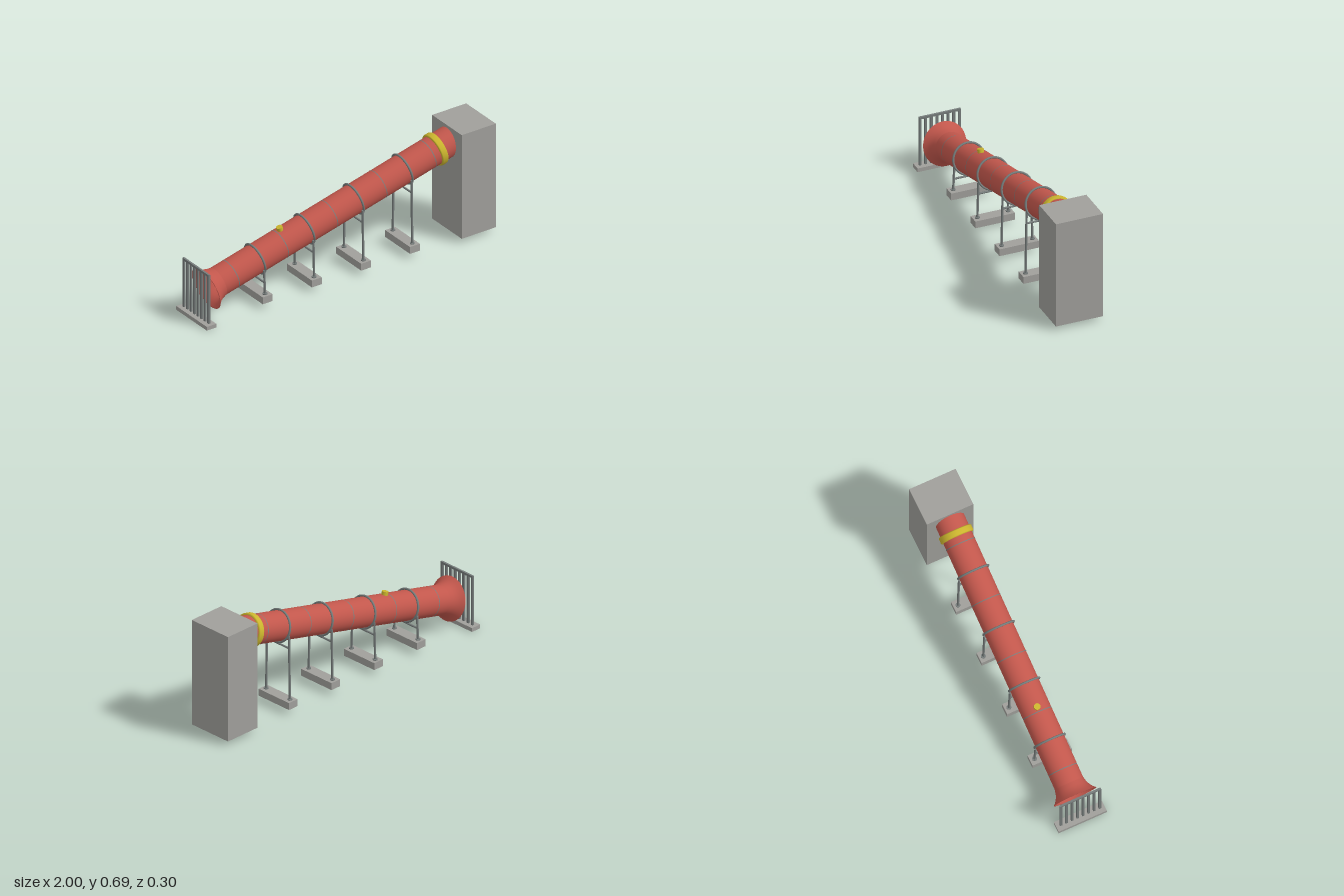
import * as THREE from 'three';

const material = (name, color, side = THREE.FrontSide) => {
  const m = new THREE.MeshStandardMaterial({ color, side });
  m.name = name;
  return m;
};

export function createModel() {
  const red = material('red pipe', 0xc2574c, THREE.DoubleSide);
  const yellow = material('yellow fitting', 0xcbb52e);
  const concrete = material('concrete grey', 0xa09f9b);
  const steel = material('steel grey', 0x767c7b);

  const model = new THREE.Group();
  model.name = 'slopingPipe';

  const add = (name, geometry, mat, parent = model, x = 0, y = 0, z = 0) => {
    const mesh = new THREE.Mesh(geometry, mat);
    mesh.name = name;
    mesh.position.set(x, y, z);
    parent.add(mesh);
    return mesh;
  };
  const box = (name, mat, parent, [x0, x1], [y0, y1], [z0, z1]) =>
    add(name, new THREE.BoxGeometry(x1 - x0, y1 - y0, z1 - z0), mat, parent,
      (x0 + x1) / 2, (y0 + y1) / 2, (z0 + z1) / 2);
  const rod = (name, a, b, radius, mat, parent) => {
    const dir = b.clone().sub(a);
    const mesh = add(name, new THREE.CylinderGeometry(radius, radius, dir.length(), 12), mat, parent);
    mesh.position.copy(a).add(b).multiplyScalar(0.5);
    mesh.quaternion.setFromUnitVectors(new THREE.Vector3(0, 1, 0), dir.normalize());
    return mesh;
  };

  // Pipe frame: local x runs up the axis from the centre of the mouth
  const slope = THREE.MathUtils.degToRad(14);
  const mouthX = -0.8975, mouthY = 0.172;
  const along = (x) => (x - mouthX) / Math.cos(slope);
  const axisY = (x) => mouthY + (x - mouthX) * Math.tan(slope);
  const pipe = new THREE.Group();
  pipe.name = 'pipe';
  pipe.position.set(mouthX, mouthY, 0);
  pipe.rotation.z = slope;
  model.add(pipe);

  const lathe = (points) => new THREE.LatheGeometry(
    points.map(([r, d]) => new THREE.Vector2(r, d)), 48).rotateZ(-Math.PI / 2);

  // Hollow pipe with a flared mouth
  const end = along(0.8);
  const flare = [[0.132, 0], [0.116, 0.016], [0.104, 0.034], [0.095, 0.054], [0.089, 0.08]];
  const inner = flare.map(([r, d]) => [r - 0.006, d]).reverse();
  add('flaredMouth', lathe(flare), red, pipe);
  add('mouthLip', lathe([[0.126, 0], [0.132, 0]]), red, pipe);
  add('mouthLining', lathe(inner), red, pipe);
  add('pipeWall', lathe([[0.088, 0.078], [0.088, end]]), red, pipe);
  add('pipeLining', lathe([[0.083, end], [0.083, 0.08]]), red, pipe);

  // Joints between pipe sections
  for (const x of [-0.735, -0.395, -0.055, 0.285, 0.625]) {
    add('joint', new THREE.CylinderGeometry(0.0893, 0.0893, 0.005, 48, 1, true).rotateZ(Math.PI / 2),
      steel, pipe, along(x));
  }

  // Yellow collar below the upper end
  const collar = lathe([[0.087, -0.02], [0.096, -0.02], [0.1, -0.014], [0.1, 0.014], [0.096, 0.02], [0.087, 0.02]]);
  add('collar', collar, yellow, pipe, along(0.685));

  // Inspection cap on top of the pipe
  add('inspectionCap', new THREE.CylinderGeometry(0.019, 0.019, 0.026, 24), yellow, pipe, along(-0.368), 0.095);

  // Supports: footing, two splayed legs, cross bar and a hoop round the pipe
  for (const x of [-0.56, -0.22, 0.12, 0.458]) {
    const y = axisY(x);
    const support = new THREE.Group();
    support.name = 'support';
    model.add(support);
    box('footing', concrete, support, [x - 0.034, x + 0.034], [0.028, 0.072], [-0.122, 0.122]);
    for (const s of [-1, 1]) {
      rod('leg', new THREE.Vector3(x, 0.07, s * 0.095), new THREE.Vector3(x, y - 0.035, s * 0.088), 0.0068, steel, support);
      add('footPlate', new THREE.CylinderGeometry(0.014, 0.014, 0.006, 16), steel, support, x, 0.075, s * 0.095);
    }
    rod('crossBar', new THREE.Vector3(x, y - 0.112, -0.091), new THREE.Vector3(x, y - 0.112, 0.091), 0.006, steel, support);
    add('hoop', new THREE.TorusGeometry(0.094, 0.0065, 10, 48).rotateY(Math.PI / 2), steel, pipe, along(x));
  }

  // Concrete block at the upper end
  box('endBlock', concrete, model, [0.765, 1], [0.027, 0.695], [-0.145, 0.145]);

  // Barred screen in front of the mouth
  const screen = new THREE.Group();
  screen.name = 'screen';
  model.add(screen);
  box('screenFooting', concrete, screen, [-1, -0.935], [0, 0.024], [-0.15, 0.15]);
  box('topRail', steel, screen, [-0.973, -0.961], [0.324, 0.338], [-0.128, 0.128]);
  for (let i = 0; i < 8; i++) {
    const z = -0.121 + i * 0.242 / 7;
    box('bar', steel, screen, [-0.973, -0.961], [0.022, 0.326], [z - 0.007, z + 0.007]);
  }
  return model;
}
